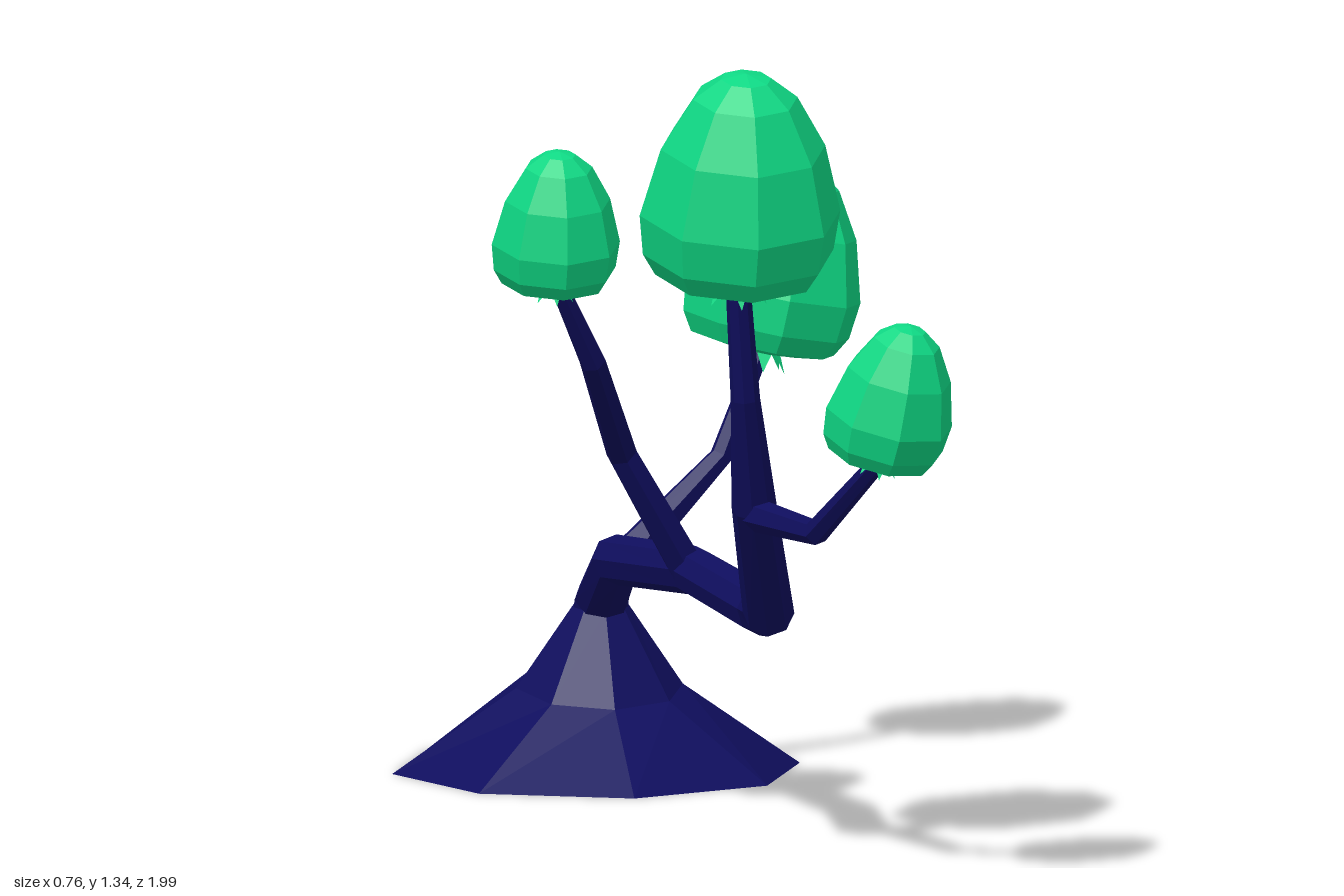
import * as THREE from 'three';

const bark = new THREE.MeshStandardMaterial({ color: 0x0f0e5e });
bark.name = 'darkBark';
const green = new THREE.MeshStandardMaterial({ color: 0x0fd884, side: THREE.DoubleSide });
green.name = 'leafGreen';

const UP = new THREE.Vector3(0, 1, 0);

function facet(geometry) {
  const flat = geometry.index ? geometry.toNonIndexed() : geometry;
  flat.computeVertexNormals();
  return flat;
}

function addMesh(parent, name, geometry, material) {
  const mesh = new THREE.Mesh(facet(geometry), material);
  mesh.name = name;
  parent.add(mesh);
  return mesh;
}

// Tapered limb through rows of [x, y, z, radius], closed at both ends
function limb(rows, sides, startDir = null) {
  const pts = rows.map(r => new THREE.Vector3(r[0], r[1], r[2]));
  const last = pts.length - 1;
  const pos = [], index = [];
  const turn = new THREE.Quaternion();
  const prev = UP.clone();
  pts.forEach((p, i) => {
    const dir = new THREE.Vector3();
    if (i > 0) dir.add(p.clone().sub(pts[i - 1]).normalize());
    if (i < last) dir.add(pts[i + 1].clone().sub(p).normalize());
    if (i === 0 && startDir) dir.copy(startDir);
    dir.normalize();
    turn.premultiply(new THREE.Quaternion().setFromUnitVectors(prev, dir));
    prev.copy(dir);
    for (let s = 0; s < sides; s++) {
      const a = (s / sides) * Math.PI * 2;
      const v = new THREE.Vector3(Math.sin(a), 0, Math.cos(a)).multiplyScalar(rows[i][3]);
      v.applyQuaternion(turn).add(p);
      pos.push(v.x, v.y, v.z);
    }
  });
  const start = pos.length / 3, end = start + 1;
  pos.push(...pts[0].toArray(), ...pts[last].toArray());
  for (let s = 0; s < sides; s++) {
    const t = (s + 1) % sides;
    for (let i = 0; i < last; i++) {
      const a = i * sides + s, b = i * sides + t;
      index.push(a, b, b + sides, a, b + sides, a + sides);
    }
    index.push(start, t, s, end, last * sides + s, last * sides + t);
  }
  const g = new THREE.BufferGeometry();
  g.setAttribute('position', new THREE.Float32BufferAttribute(pos, 3));
  g.setIndex(index);
  return g;
}

// Star of small pointed leaves drooping under a crown
function calyxGeometry(radius, count = 6) {
  const pos = [];
  const at = (a, r, y) => pos.push(Math.sin(a) * r * radius, y * radius, Math.cos(a) * r * radius);
  for (let i = 0; i < count; i++) {
    const a = (i / count) * Math.PI * 2, h = Math.PI / count;
    at(a - h, 0.2, 0.02);
    at(a, 0.32, -0.22);
    at(a + h, 0.2, 0.02);
  }
  const g = new THREE.BufferGeometry();
  g.setAttribute('position', new THREE.Float32BufferAttribute(pos, 3));
  return g;
}

// Crown outline: radius and height as fractions of crown radius and length
const crownProfile = [
  [0, 0], [0.45, 0], [0.82, 0.03], [0.95, 0.13], [1, 0.32],
  [0.82, 0.64], [0.52, 0.88], [0.25, 0.975], [0, 1],
];

function crown(name, base, top, radius) {
  const group = new THREE.Group();
  group.name = name;
  const from = new THREE.Vector3(...base);
  const axis = new THREE.Vector3(...top).sub(from);
  const length = axis.length();
  const outline = crownProfile.map(([r, y]) => new THREE.Vector2(r * radius, y * length));
  addMesh(group, name + 'Cap', new THREE.LatheGeometry(outline, 8), green);
  addMesh(group, name + 'Calyx', calyxGeometry(radius), green);
  group.position.copy(from);
  group.quaternion.setFromUnitVectors(UP, axis.normalize());
  return group;
}

export function createModel() {
  const model = new THREE.Group();
  model.name = 'bentTree';

  // Flared octagonal root
  addMesh(model, 'rootMound', limb([
    [-0.045, 0, -0.665, 0.337],
    [-0.045, 0.14, -0.635, 0.138],
    [-0.045, 0.275, -0.625, 0.046],
  ], 8, UP), bark);

  // Long trunk sweeping forward and then up
  addMesh(model, 'trunk', limb([
    [-0.045, 0.25, -0.628, 0.045],
    [-0.045, 0.285, -0.615, 0.045],
    [-0.045, 0.37, -0.48, 0.042],
    [0.025, 0.395, -0.18, 0.04],
    [0.087, 0.368, 0.09, 0.042],
    [0.053, 0.4, 0.33, 0.042],
    [0, 0.6, 0.485, 0.037],
    [-0.03, 0.79, 0.567, 0.024],
    [-0.05, 1.0, 0.603, 0.02],
  ], 8, UP), bark);

  // Side branches
  const branches = {
    frontBranch: [[0, 0.585, 0.48, 0.028], [0.06, 0.587, 0.71, 0.021], [0.137, 0.73, 0.873, 0.015]],
    rightBranch: [[0.02, 0.39, -0.185, 0.032], [-0.105, 0.6, -0.12, 0.026],
      [-0.2, 0.79, 0.13, 0.022], [-0.272, 0.935, 0.192, 0.015]],
    leftBranch: [[-0.03, 0.37, -0.485, 0.032], [0.14, 0.525, -0.55, 0.019], [0.213, 0.7, -0.577, 0.015]],
  };
  for (const [name, rows] of Object.entries(branches)) addMesh(model, name, limb(rows, 6), bark);

  // Bud-shaped leaf crowns
  model.add(
    crown('mainCrown', [-0.05, 0.992, 0.6], [-0.05, 1.34, 0.682], 0.166),
    crown('rightCrown', [-0.275, 0.925, 0.188], [-0.275, 1.153, 0.237], 0.106),
    crown('frontCrown', [0.134, 0.728, 0.868], [0.176, 0.955, 0.926], 0.106),
    crown('leftCrown', [0.212, 0.695, -0.577], [0.273, 1.003, -0.577], 0.147),
  );
  return model;
}
